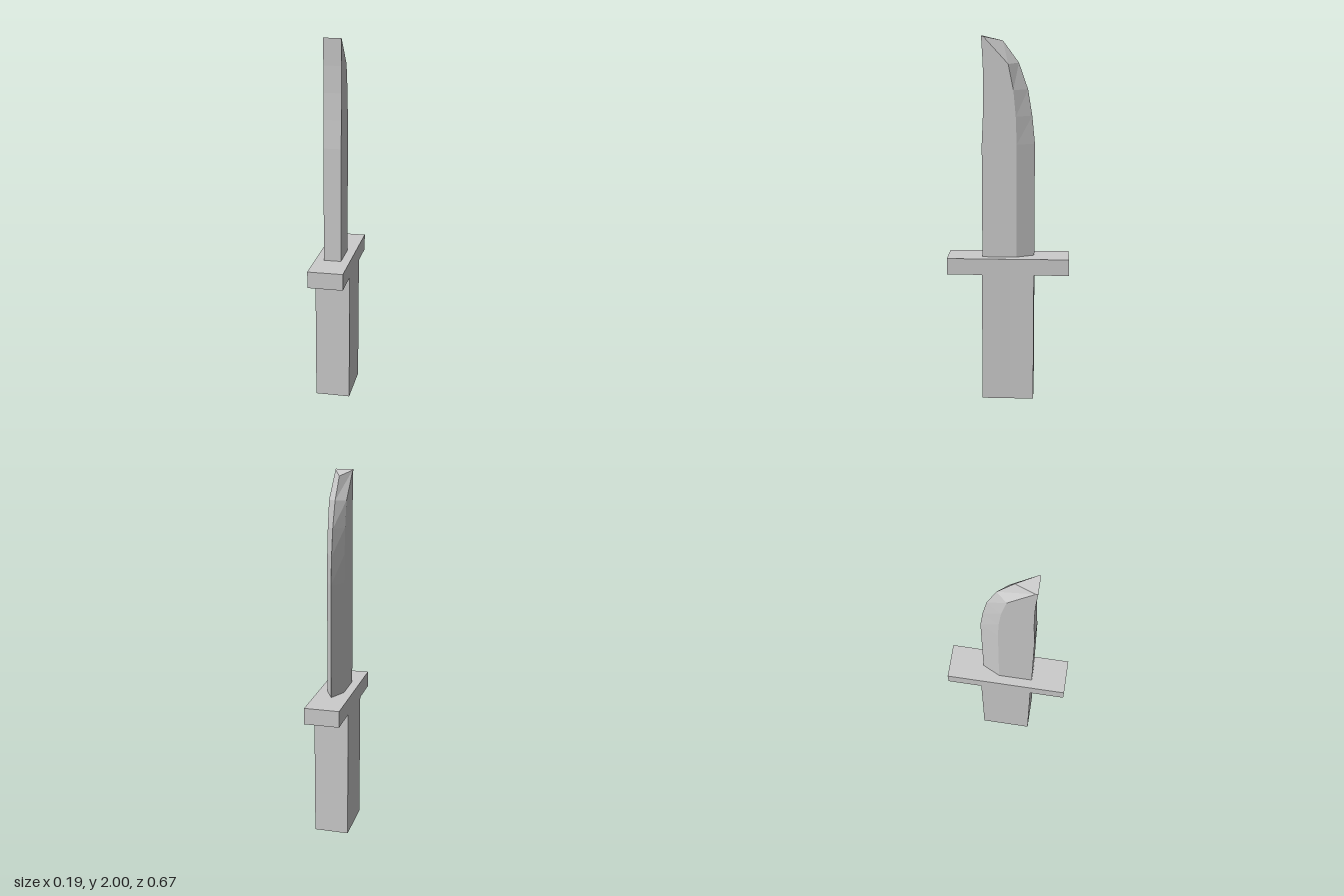
import * as THREE from 'three';

const material = new THREE.MeshStandardMaterial({
  color: 0xcccccc, flatShading: true, side: THREE.DoubleSide,
});

function box(name, width, depth, bottom, top) {
  const mesh = new THREE.Mesh(new THREE.BoxGeometry(width, top - bottom, depth), material);
  mesh.position.y = (bottom + top) / 2;
  mesh.name = name;
  return mesh;
}

// Loft of five-sided sections: flat spine, two flat cheeks, bevels meeting in a cutting edge
function bladeGeometry() {
  const w = 0.047;
  // [z, y] of the spine, bevel shoulder and cutting edge
  const sections = [
    [[0.142, 0.81], [-0.045, 0.81], [-0.142, 0.81]],
    [[0.142, 1.43], [-0.045, 1.43], [-0.142, 1.43]],
    [[0.135, 1.58], [-0.04, 1.58], [-0.127, 1.58]],
    [[0.132, 1.72], [-0.027, 1.72], [-0.104, 1.72]],
    [[0.134, 1.86], [0, 1.855], [-0.055, 1.86]],
    [[0.142, 2.0], [0.131, 1.997], [0.03, 1.975]],
  ];
  const positions = [];
  for (const [spine, shoulder, edge] of sections) {
    const ring = [[w, spine], [w, shoulder], [0, edge], [-w, shoulder], [-w, spine]];
    for (const [x, [z, y]] of ring) positions.push(x, y, z);
  }
  const n = 5, index = [];
  for (let r = 0; r < sections.length - 1; r++) {
    for (let i = 0; i < n; i++) {
      const a = r * n + i, b = r * n + (i + 1) % n;
      index.push(a, b, b + n, a, b + n, a + n);
    }
  }
  // End caps
  const top = (sections.length - 1) * n;
  for (let i = 1; i < n - 1; i++) {
    index.push(0, i + 1, i, top, top + i, top + i + 1);
  }
  const geometry = new THREE.BufferGeometry();
  geometry.setAttribute('position', new THREE.Float32BufferAttribute(positions, 3));
  geometry.setIndex(index);
  const flat = geometry.toNonIndexed();
  flat.computeVertexNormals();
  return flat;
}

export function createModel() {
  const knife = new THREE.Group();
  knife.name = 'knife';
  const blade = new THREE.Mesh(bladeGeometry(), material);
  blade.name = 'blade';
  knife.add(
    box('handle', 0.19, 0.284, 0, 0.72),
    box('guard', 0.19, 0.666, 0.72, 0.81),
    blade,
  );
  return knife;
}
